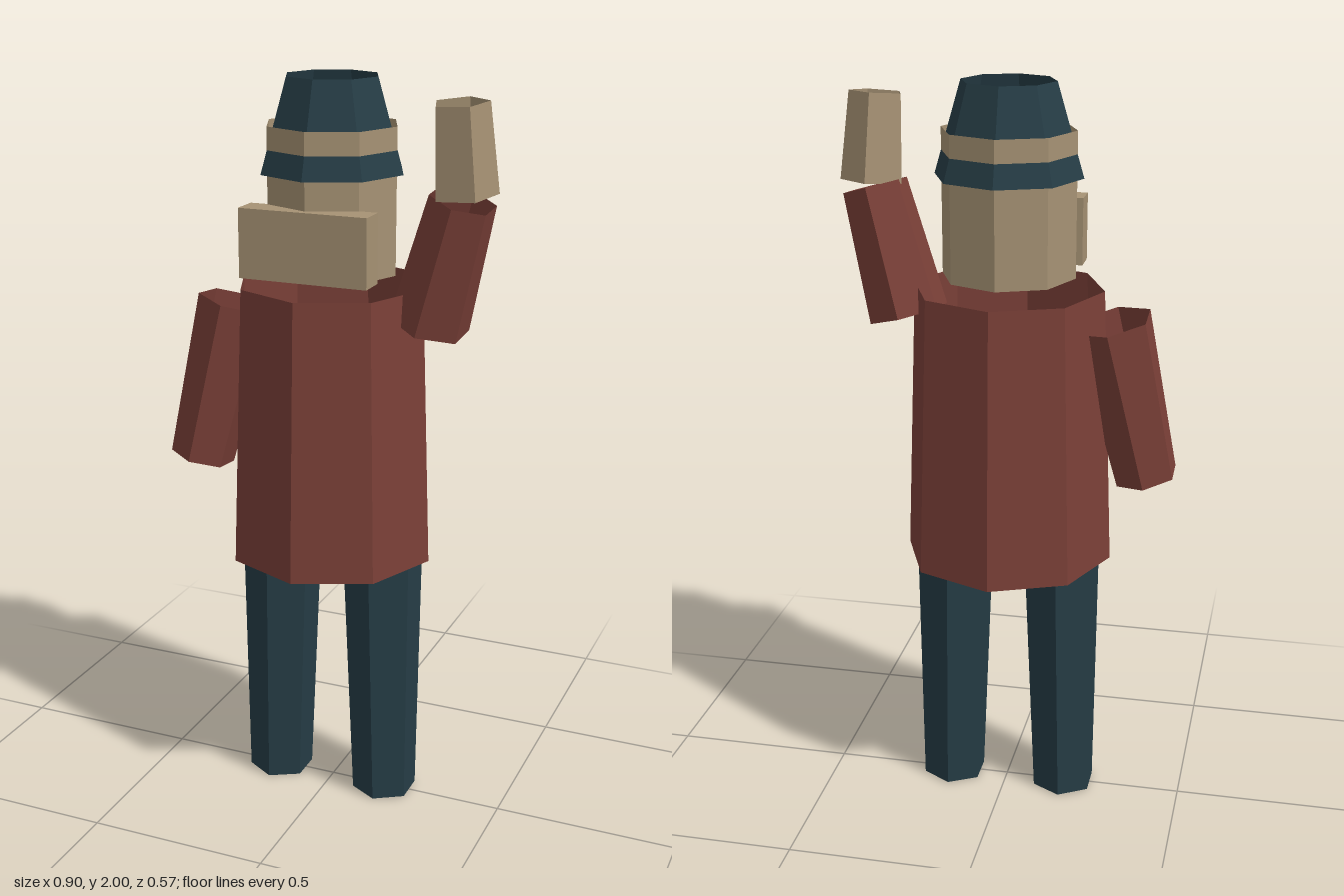
import * as THREE from 'three';

const CX = -0.004; // body axis

function material(name, color) {
  const m = new THREE.MeshStandardMaterial({ color, flatShading: true, side: THREE.DoubleSide });
  m.name = name;
  return m;
}

// Open, tapered, faceted tube running between two points
function tube(name, mat, sides, from, rFrom, to, rTo, spin = 0) {
  const a = new THREE.Vector3(...from);
  const b = new THREE.Vector3(...to);
  const dir = b.clone().sub(a);
  const geo = new THREE.CylinderGeometry(rTo, rFrom, dir.length(), sides, 1, true);
  geo.rotateY(spin);
  const mesh = new THREE.Mesh(geo, mat);
  mesh.name = name;
  mesh.position.copy(a).add(b).multiplyScalar(0.5);
  mesh.quaternion.setFromUnitVectors(new THREE.Vector3(0, 1, 0), dir.normalize());
  return mesh;
}

export function createModel() {
  const model = new THREE.Group();
  model.name = 'wavingFigure';
  const coat = material('coat red', 0x7b4038);
  const skin = material('skin tan', 0xa69274);
  const dark = material('dark teal', 0x263d46);

  // Legs
  for (const [name, s] of [['leftLeg', 1], ['rightLeg', -1]]) {
    model.add(tube(name, dark, 6,
      [CX + s * 0.162, 0.001, 0], 0.09, [CX + s * 0.15, 0.75, 0], 0.11));
  }

  // Coat body
  model.add(tube('coatBody', coat, 8, [CX, 0.72, 0], 0.283, [CX, 1.47, 0], 0.254));

  // Head, with a hat that flares out past it at the brim
  model.add(tube('head', skin, 8, [CX, 1.5, 0], 0.177, [CX, 1.88, 0], 0.177));
  model.add(tube('hat', dark, 8, [CX, 1.76, 0], 0.195, [CX, 2, 0], 0.124));

  // Beard block
  const beard = new THREE.Mesh(new THREE.BoxGeometry(0.348, 0.18, 0.075), skin);
  beard.name = 'beard';
  beard.position.set(CX, 1.595, 0.159);
  model.add(beard);

  // Lowered right arm
  model.add(tube('rightArm', coat, 6, [-0.375, 0.95, 0.047], 0.088, [-0.28, 1.39, 0], 0.108));

  // Raised left arm and hand
  model.add(tube('leftArm', coat, 6, [0.267, 1.382, 0], 0.108, [0.361, 1.715, 0.035], 0.088));
  model.add(tube('leftHand', skin, 5,
    [0.364, 1.727, 0.035], 0.087, [0.354, 1.955, 0.053], 0.073, Math.PI));

  return model;
}
